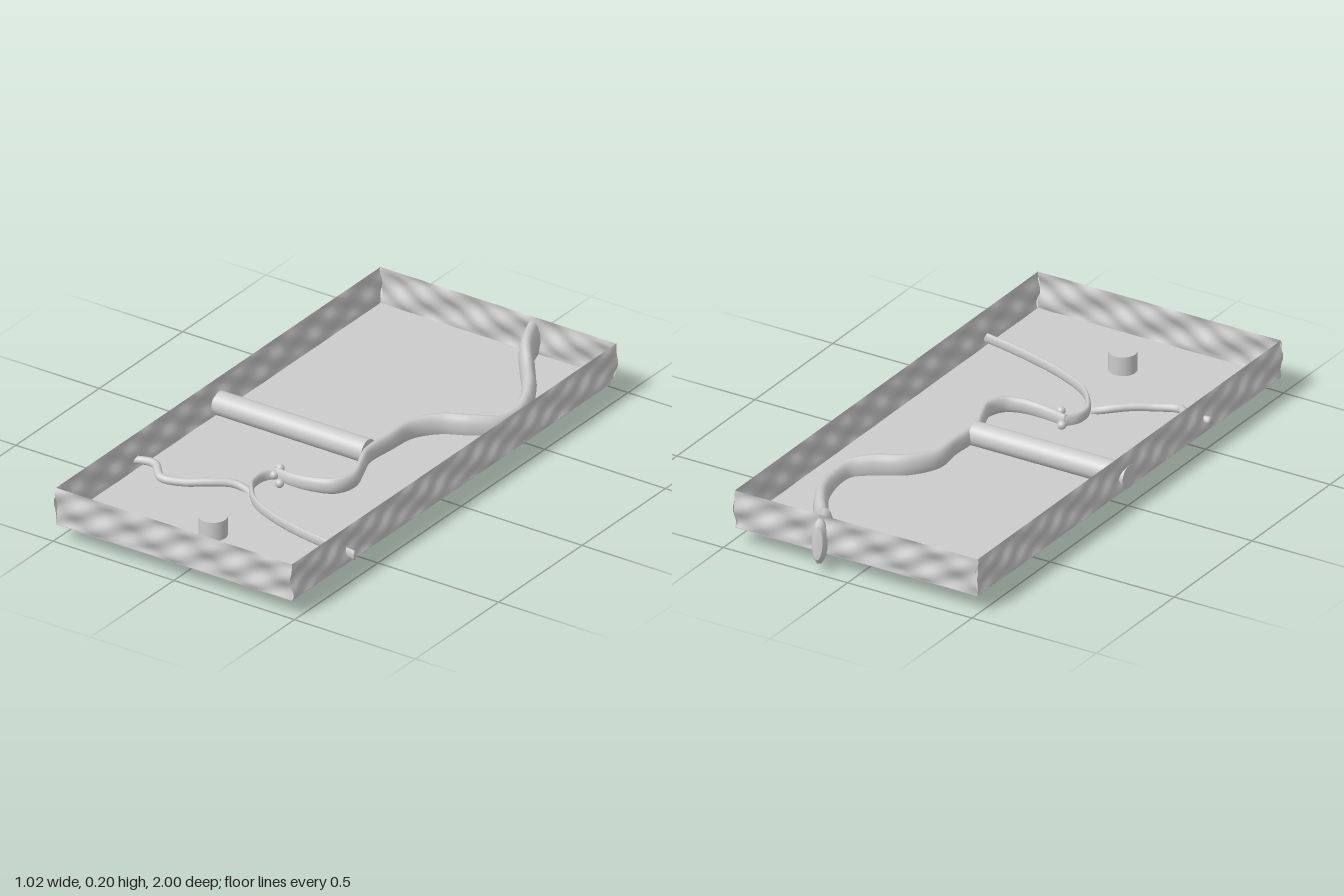
import * as THREE from 'three';

const FLOOR = 0.065, TOP = 0.205;
const X0 = -0.495, X1 = 0.482, Z0 = -0.955, Z1 = 0.99;

const material = new THREE.MeshStandardMaterial({ color: 0xcccccc, side: THREE.DoubleSide });

function add(group, name, geometry, x = 0, y = 0, z = 0) {
  const mesh = new THREE.Mesh(geometry, material);
  mesh.name = name;
  mesh.position.set(x, y, z);
  group.add(mesh);
  return mesh;
}

// Thin wall whose face ripples while its rim and foot stay straight
function rippledWall(length, seed) {
  const height = TOP - FLOOR;
  const geo = new THREE.PlaneGeometry(length, height, Math.round(length * 60), 12);
  const p = geo.attributes.position;
  for (let i = 0; i < p.count; i++) {
    const u = p.getX(i), v = THREE.MathUtils.clamp(p.getY(i) / height + 0.5, 0, 1);
    const wave = Math.sin(u * 21 + v * 5 + seed) * 0.6 + Math.sin(u * 37 - v * 9 + seed * 2.3) * 0.4;
    p.setZ(i, wave * 0.012 * Math.sqrt(4 * v * (1 - v)));
  }
  geo.computeVertexNormals();
  return geo;
}

// Oval tube swept along a smooth path; each point is [x, y, z, halfWidth, halfHeight]
function stream(points, steps = 100, sides = 14) {
  const curve = new THREE.CatmullRomCurve3(points.map((q) => new THREE.Vector3(q[0], q[1], q[2])), false, 'centripetal');
  const up = new THREE.Vector3(0, 1, 0);
  const pos = [], index = [];
  const last = points.length - 1;
  const ring = (center, side, normal, w, h) => {
    for (let j = 0; j < sides; j++) {
      const a = (j / sides) * Math.PI * 2;
      const v = center.clone().addScaledVector(side, Math.cos(a) * w).addScaledVector(normal, Math.sin(a) * h);
      pos.push(v.x, v.y, v.z);
    }
  };
  for (let i = 0; i <= steps; i++) {
    const t = i / steps, k = Math.min(Math.floor(t * last), last - 1), f = t * last - k;
    const w = THREE.MathUtils.lerp(points[k][3], points[k + 1][3], f);
    const h = THREE.MathUtils.lerp(points[k][4], points[k + 1][4], f);
    const c = curve.getPoint(t), tangent = curve.getTangent(t);
    const side = new THREE.Vector3().crossVectors(tangent, up).normalize();
    const normal = new THREE.Vector3().crossVectors(side, tangent);
    if (i === 0) ring(c, side, normal, 0, 0);
    ring(c, side, normal, w, h);
    if (i === steps) ring(c, side, normal, 0, 0);
  }
  for (let i = 0; i < steps + 2; i++) {
    for (let j = 0; j < sides; j++) {
      const a = i * sides + j, b = i * sides + ((j + 1) % sides);
      index.push(a, b, a + sides, b, b + sides, a + sides);
    }
  }
  const geo = new THREE.BufferGeometry();
  geo.setAttribute('position', new THREE.Float32BufferAttribute(pos, 3));
  geo.setIndex(index);
  geo.computeVertexNormals();
  return geo;
}

export function createModel() {
  const model = new THREE.Group();
  model.name = 'streamTray';
  const cx = (X0 + X1) / 2, cz = (Z0 + Z1) / 2, cy = (FLOOR + TOP) / 2;

  // Tray
  add(model, 'floor', new THREE.BoxGeometry(X1 - X0, 0.003, Z1 - Z0), cx, FLOOR, cz);
  add(model, 'frontWall', rippledWall(X1 - X0, 1), cx, cy, Z1);
  add(model, 'backWall', rippledWall(X1 - X0, 2), cx, cy, Z0).rotation.y = Math.PI;
  add(model, 'leftWall', rippledWall(Z1 - Z0, 3), X1, cy, cz).rotation.y = Math.PI / 2;
  add(model, 'rightWall', rippledWall(Z1 - Z0, 4), X0, cy, cz).rotation.y = -Math.PI / 2;

  // Log lying across the floor, and a short post
  add(model, 'log', new THREE.CylinderGeometry(0.043, 0.043, 0.62, 32), -0.188, 0.105, 0.012).rotation.z = Math.PI / 2;
  add(model, 'post', new THREE.CylinderGeometry(0.05, 0.05, 0.075, 32), -0.01, 0.1, 0.75);

  // Main stream, entering over the back wall
  add(model, 'mainStream', stream([
    [0.125, 0.115, -0.995, 0.018, 0.06],
    [0.132, 0.112, -0.97, 0.028, 0.085],
    [0.17, 0.11, -0.87, 0.028, 0.065],
    [0.23, 0.075, -0.79, 0.027, 0.062],
    [0.29, 0.085, -0.71, 0.026, 0.045],
    [0.345, 0.078, -0.61, 0.025, 0.045],
    [0.372, 0.062, -0.5, 0.025, 0.055],
    [0.365, 0.075, -0.42, 0.025, 0.05],
    [0.3, 0.088, -0.36, 0.024, 0.048],
    [0.2, 0.092, -0.3, 0.023, 0.046],
    [0.14, 0.094, -0.21, 0.021, 0.04],
    [0.137, 0.1, -0.1, 0.018, 0.035],
    [0.132, 0.1, 0.03, 0.016, 0.033],
    [0.165, 0.1, 0.12, 0.016, 0.033],
    [0.19, 0.098, 0.2, 0.016, 0.032],
    [0.165, 0.095, 0.265, 0.015, 0.03],
    [0.1, 0.092, 0.295, 0.014, 0.028],
    [0, 0.085, 0.3, 0.013, 0.026],
    [-0.07, 0.082, 0.29, 0.012, 0.025],
  ], 180));

  // Narrow branch that leaves through the left wall
  add(model, 'leftBranch', stream([
    [-0.065, 0.082, 0.29, 0.01, 0.025],
    [-0.092, 0.08, 0.33, 0.009, 0.024],
    [-0.092, 0.082, 0.39, 0.009, 0.02],
    [-0.065, 0.085, 0.44, 0.009, 0.02],
    [0, 0.087, 0.51, 0.008, 0.02],
    [0.13, 0.09, 0.573, 0.008, 0.019],
    [0.3, 0.095, 0.62, 0.008, 0.019],
    [0.51, 0.102, 0.655, 0.008, 0.018],
  ]));

  // Branch that dives under the floor and leaves through the right wall
  add(model, 'rightBranch', stream([
    [-0.038, 0.007, 0.435, 0.012, 0.012],
    [-0.055, 0.04, 0.43, 0.013, 0.013],
    [-0.09, 0.068, 0.425, 0.014, 0.014],
    [-0.14, 0.085, 0.435, 0.015, 0.015],
    [-0.21, 0.092, 0.485, 0.015, 0.015],
    [-0.28, 0.09, 0.53, 0.015, 0.015],
    [-0.36, 0.095, 0.555, 0.015, 0.015],
    [-0.42, 0.11, 0.508, 0.015, 0.015],
    [-0.51, 0.105, 0.517, 0.014, 0.014],
  ]));

  // Pebbles by the bend
  for (const [x, z] of [[-0.075, 0.255], [-0.065, 0.305], [-0.015, 0.345]]) {
    add(model, 'pebble', new THREE.SphereGeometry(0.016, 16, 12), x, 0.085, z);
  }
  return model;
}
